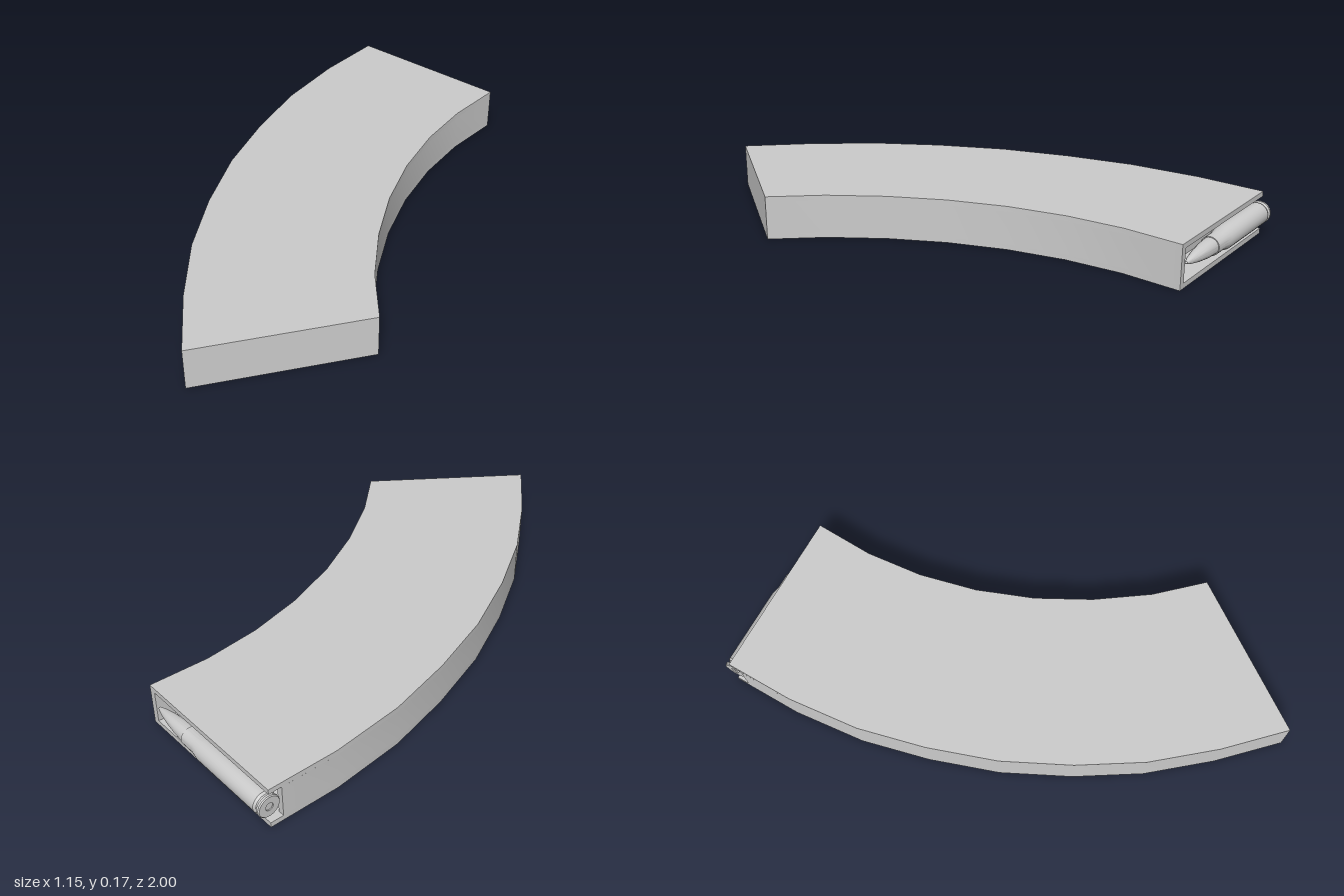
import * as THREE from 'three';
import { toCreasedNormals } from 'three/addons/utils/BufferGeometryUtils.js';

const HEIGHT = 0.167, PLATE = 0.02, END = -0.96;

// Curved side outlines as [x, z], from the open end to the closed end
const outer = [[-0.58, -0.69], [-0.56, -0.41], [-0.505, -0.15], [-0.425, 0.11],
  [-0.31, 0.36], [-0.175, 0.59], [-0.005, 0.805], [0.18, 1]];
const inner = [[0.085, END], [0.07, -0.73], [0.085, -0.51], [0.13, -0.29],
  [0.205, -0.075], [0.305, 0.125], [0.43, 0.315], [0.575, 0.48]];

export function createModel() {
  const group = new THREE.Group();
  const material = new THREE.MeshStandardMaterial({ color: 0xcccccc });

  const add = (name, geometry) => {
    const mesh = new THREE.Mesh(toCreasedNormals(geometry, 0.5), material);
    mesh.name = name;
    group.add(mesh);
    return mesh;
  };

  // Flat slab with an outline in x and z, between two heights
  const slab = (name, outline, y0, y1) => {
    const shape = new THREE.Shape(outline.map(([x, z]) => new THREE.Vector2(x, z)));
    const geometry = new THREE.ExtrudeGeometry(shape, { depth: y1 - y0, bevelEnabled: false });
    geometry.rotateX(Math.PI / 2).translate(0, y1, 0);
    return add(name, geometry);
  };

  // Side plates of the curved case
  const innerBack = [...inner].reverse();
  const plate = [[-0.57, END], ...outer, ...innerBack];
  slab('lowerPlate', plate, 0, PLATE);
  slab('upperPlate', plate, HEIGHT - PLATE, HEIGHT);

  // Case core with the feed recess, open toward the cartridge base
  const core = [[-0.572, -0.91], ...outer, ...innerBack,
    [0.06, END], [0.052, -0.85], [-0.548, -0.85], [-0.548, -0.91]];
  slab('caseCore', core, PLATE, HEIGHT - PLATE);

  // Cartridge profile as [radius, distance from the base]
  const profile = [[0, 0.004], [0.015, 0.004], [0.015, 0], [0.04, 0], [0.043, 0.004],
    [0.043, 0.012], [0.037, 0.016], [0.037, 0.022], [0.043, 0.03], [0.043, 0.335],
    [0.036, 0.37], [0.036, 0.43], [0.033, 0.43], [0.03, 0.48], [0.023, 0.535],
    [0.013, 0.585], [0.005, 0.61], [0, 0.614]];
  const round = new THREE.LatheGeometry(profile.map(([r, d]) => new THREE.Vector2(r, d)), 24);
  const cartridge = add('cartridge', round.rotateZ(-Math.PI / 2));
  cartridge.position.set(-0.566, 0.088, -0.957);

  return group;
}
